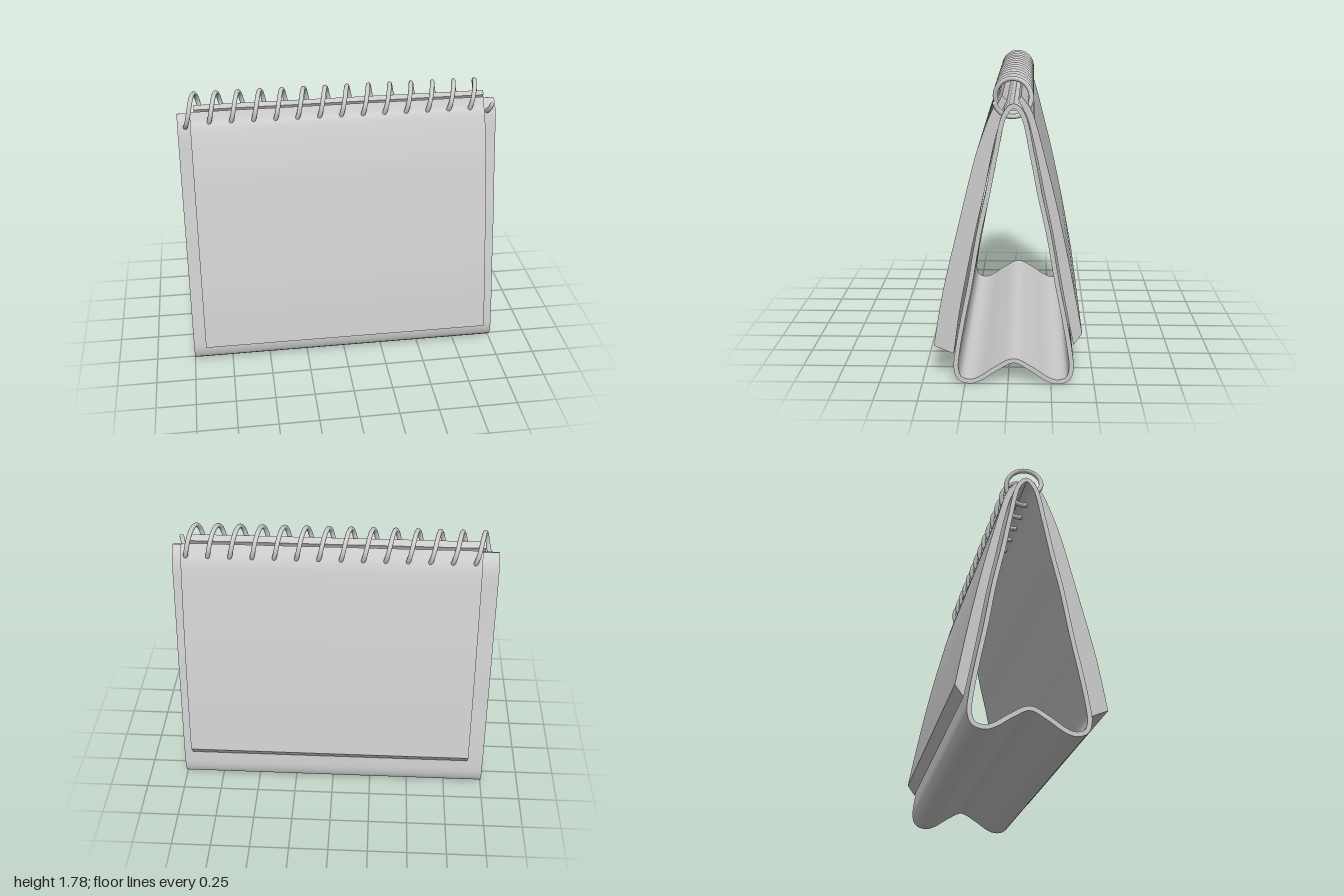
import * as THREE from 'three';
import { toCreasedNormals } from 'three/addons/utils/BufferGeometryUtils.js';

const grey = new THREE.MeshStandardMaterial({ color: 0xcccccc });
const MID = -0.033; // z of the stand's plane of symmetry

// Points are (z, y); the section is swept along x from x0 to x1.
function sweep(name, outline, x0, x1, hole) {
  const flip = (pts) => pts.map((p) => new THREE.Vector2(-p.x, p.y));
  const shape = new THREE.Shape(flip(outline));
  if (hole) shape.holes.push(new THREE.Path(flip(hole)));
  const geo = new THREE.ExtrudeGeometry(shape, { depth: x1 - x0, bevelEnabled: false });
  geo.rotateY(Math.PI / 2).translate(x0, 0, 0);
  const mesh = new THREE.Mesh(toCreasedNormals(geo, 0.5), grey);
  mesh.name = name;
  return mesh;
}

const spline = (pts, n) =>
  new THREE.SplineCurve(pts.map(([z, y]) => new THREE.Vector2(z, y))).getPoints(n);

// Bent sheet: a closed centre line, thickened to both sides
function createStand() {
  const half = [[0.048, 1.58], [0.103, 1.35], [0.146, 1.13], [0.197, 0.9], [0.25, 0.6],
    [0.29, 0.4], [0.325, 0.2], [0.334, 0.09], [0.312, 0.032], [0.25, 0.014],
    [0.195, 0.032], [0.1, 0.095]];
  const loop = [[0, 1.627], ...half, [0, 0.143],
    ...half.map(([d, y]) => [-d, y]).reverse()];
  const curve = new THREE.CatmullRomCurve3(
    loop.map(([d, y]) => new THREE.Vector3(MID + d, y, 0)), true);
  const outer = [], inner = [], n = 200, t = 0.0135;
  for (let i = 0; i < n; i++) {
    const p = curve.getPointAt(i / n), d = curve.getTangentAt(i / n);
    outer.push(new THREE.Vector2(p.x - d.y * t, p.y + d.x * t));
    inner.push(new THREE.Vector2(p.x + d.y * t, p.y - d.x * t));
  }
  return sweep('stand', outer, -1, 1, inner);
}

// Wedge of stacked pages between an outer and an inner curve
const createPages = (name, outer, inner, x0, x1) =>
  sweep(name, [...spline(outer, 28), ...spline(inner, 28)], x0, x1);

// Spiral wire with rounded ends
class Spiral extends THREE.Curve {
  getPoint(t, target = new THREE.Vector3()) {
    const turn = -0.4 + t * 14.11, a = turn * Math.PI * 2, r = 0.102;
    return target.set(-0.897 + 0.1356 * turn, 1.66 + r * Math.cos(a), -0.027 - r * Math.sin(a));
  }
}

function createBinding() {
  const group = new THREE.Group();
  group.name = 'spiralBinding';
  const curve = new Spiral(), radius = 0.014;
  const wire = new THREE.Mesh(new THREE.TubeGeometry(curve, 560, radius, 12), grey);
  wire.name = 'wire';
  group.add(wire);
  for (const t of [0, 1]) {
    const end = new THREE.Mesh(new THREE.SphereGeometry(radius, 12, 8), grey);
    end.position.copy(curve.getPoint(t));
    end.name = 'wireEnd';
    group.add(end);
  }
  return group;
}

export function createModel() {
  const model = new THREE.Group();
  model.name = 'deskCalendar';
  model.add(createStand());
  // Thick stack in front
  model.add(createPages('frontPages',
    [[0.033, 1.675], [0.06, 1.625], [0.092, 1.585], [0.145, 1.45], [0.198, 1.285],
      [0.29, 0.91], [0.38, 0.53], [0.437, 0.2]],
    [[0.32, 0.15], [0.285, 0.4], [0.238, 0.65], [0.186, 0.9], [0.134, 1.13],
      [0.09, 1.35], [0.034, 1.58], [0.005, 1.645]],
    -0.92, 0.915));
  // Thin stack turned over to the back
  model.add(createPages('backPages',
    [[-0.057, 1.65], [-0.085, 1.6], [-0.115, 1.53], [-0.158, 1.35], [-0.203, 1.13],
      [-0.252, 0.9], [-0.315, 0.55], [-0.38, 0.22]],
    [[-0.43, 0.29], [-0.38, 0.56], [-0.33, 0.81], [-0.27, 1.08], [-0.207, 1.33],
      [-0.165, 1.49], [-0.13, 1.595], [-0.073, 1.675]],
    -0.895, 0.94));
  model.add(createBinding());
  return model;
}
